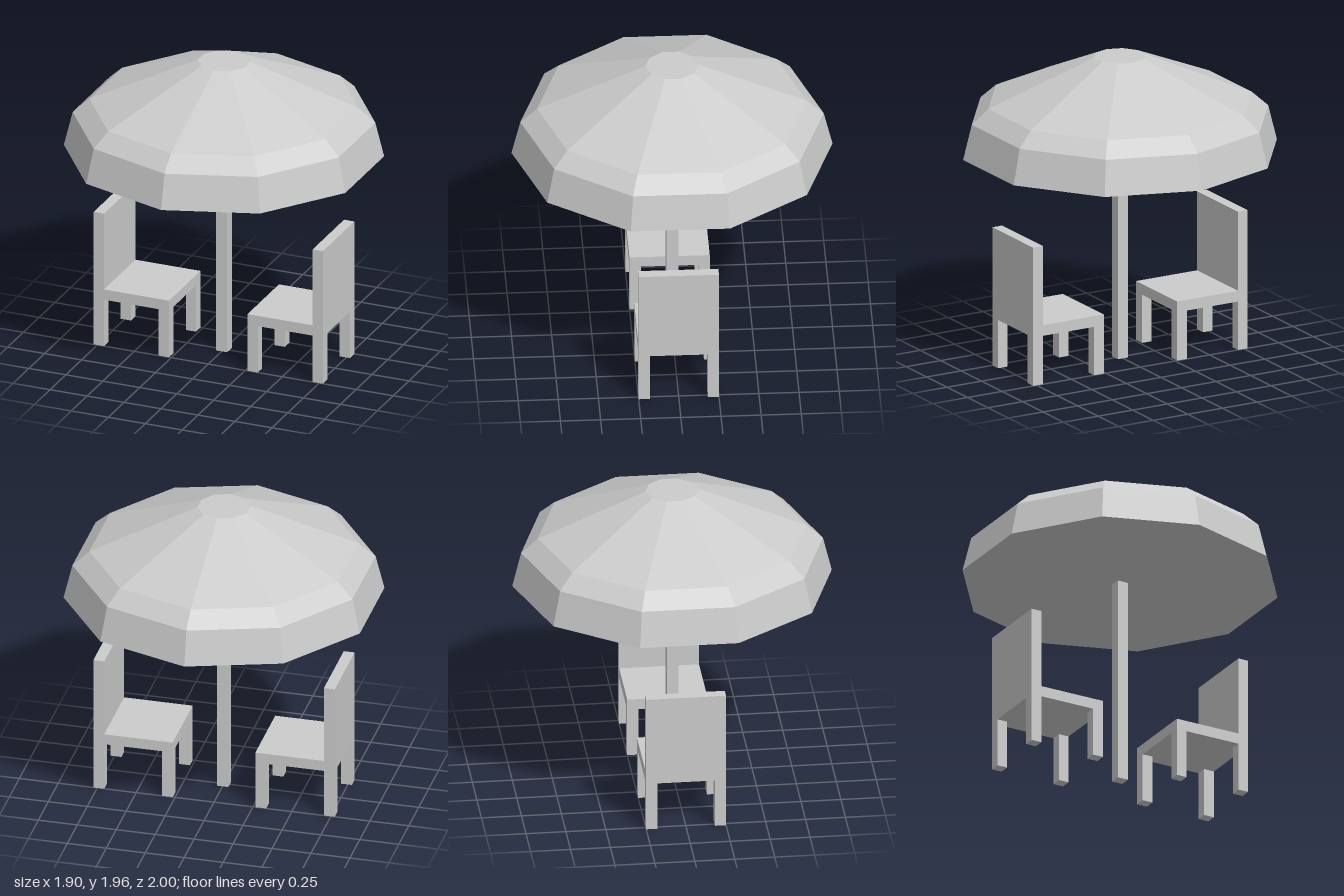
import * as THREE from 'three';

const material = new THREE.MeshStandardMaterial({ color: 0xcccccc, flatShading: true, side: THREE.DoubleSide });

// Box given by its min and max along each axis
function addBox(parent, name, [x0, x1], [y0, y1], [z0, z1]) {
  const mesh = new THREE.Mesh(new THREE.BoxGeometry(x1 - x0, y1 - y0, z1 - z0), material);
  mesh.position.set((x0 + x1) / 2, (y0 + y1) / 2, (z0 + z1) / 2);
  mesh.name = name;
  parent.add(mesh);
}

// Chair on the +x side, facing the pole
function createChair() {
  const chair = new THREE.Group();
  const inner = 0.265, outer = 0.775, half = 0.25, t = 0.07;
  const seatBottom = 0.315, seatTop = 0.385;
  addBox(chair, 'seat', [inner, outer], [seatBottom, seatTop], [-half, half]);
  addBox(chair, 'backrest', [outer - t, outer], [seatTop, 0.9], [-half, half]);
  for (const x of [inner, outer - t]) {
    for (const z of [-half, half - t]) {
      addBox(chair, 'leg', [x, x + t], [0, seatBottom], [z, z + t]);
    }
  }
  return chair;
}

export function createModel() {
  const model = new THREE.Group();
  model.name = 'parasolWithChairs';

  // Ten-sided canopy with a hanging valance, closed underneath
  const profile = [[0, 1.35], [1, 1.35], [0.945, 1.575], [0.84, 1.67], [0.165, 1.96], [0, 1.96]]
    .map(([r, y]) => new THREE.Vector2(r, y));
  const canopy = new THREE.Mesh(new THREE.LatheGeometry(profile, 10), material);
  canopy.name = 'canopy';
  model.add(canopy);

  // Square pole
  addBox(model, 'pole', [-0.037, 0.037], [0, 1.35], [-0.037, 0.037]);

  // Two chairs facing each other
  const leftChair = createChair();
  leftChair.name = 'leftChair';
  const rightChair = createChair();
  rightChair.name = 'rightChair';
  rightChair.rotation.y = Math.PI;
  model.add(leftChair, rightChair);

  return model;
}
